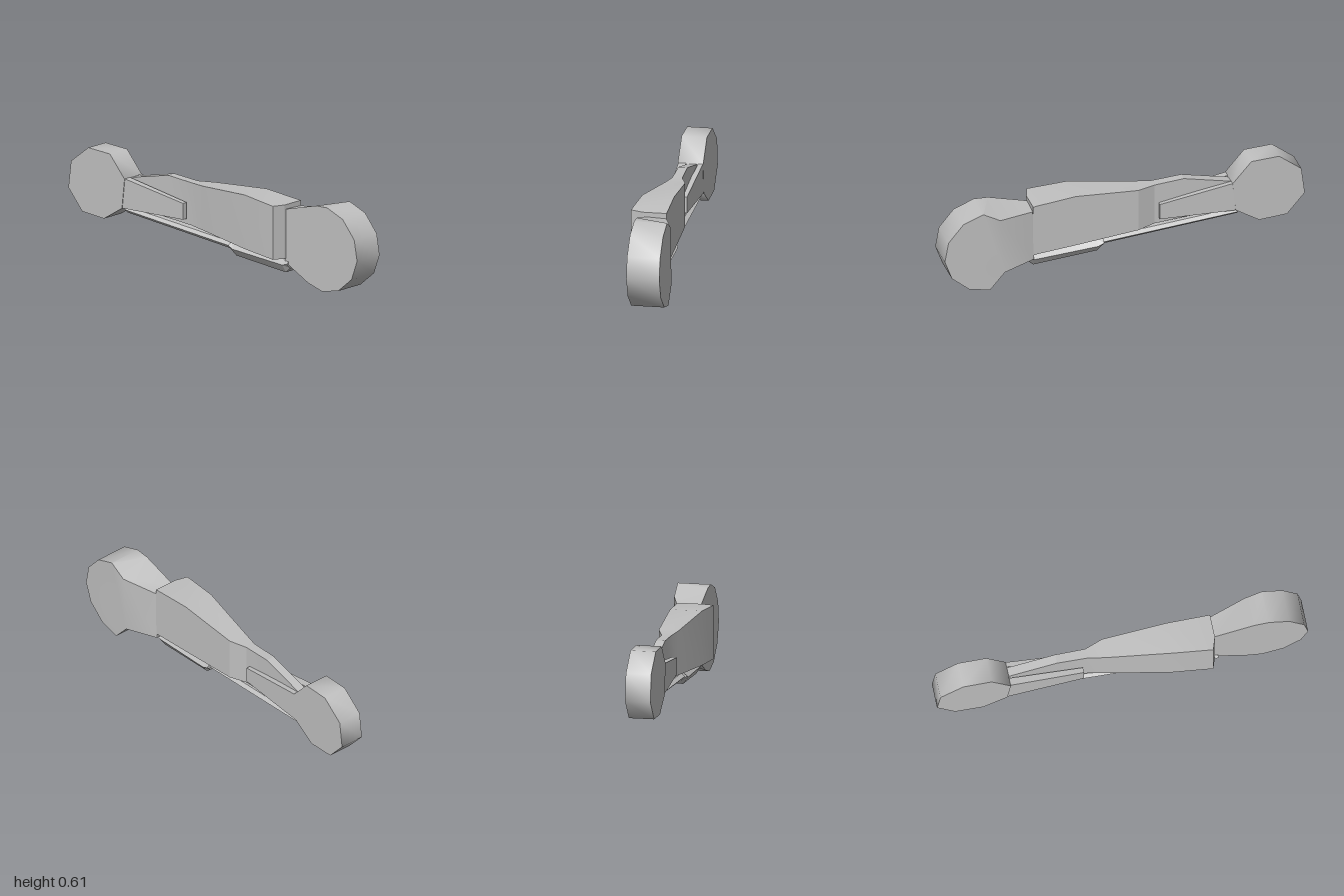
import * as THREE from 'three';
import { toCreasedNormals } from 'three/addons/utils/BufferGeometryUtils.js';

// Skin a row of equal-length loops, counter-clockwise seen from the last one.
// capFaces lists convex index groups that close both ends.
function loft(loops, crease, capFaces) {
  const n = loops[0].length;
  const index = [];
  for (let s = 0; s < loops.length - 1; s++) {
    for (let j = 0; j < n; j++) {
      const k = (j + 1) % n;
      const a = s * n + j, b = s * n + k, c = a + n, d = b + n;
      index.push(a, b, d, a, d, c);
    }
  }
  const last = (loops.length - 1) * n;
  for (const f of capFaces || [loops[0].map((_, i) => i)]) {
    for (let i = 1; i < f.length - 1; i++) {
      index.push(f[0], f[i + 1], f[i]);
      index.push(last + f[0], last + f[i], last + f[i + 1]);
    }
  }
  const geo = new THREE.BufferGeometry();
  geo.setAttribute('position', new THREE.Float32BufferAttribute(loops.flat(2), 3));
  geo.setIndex(index);
  return toCreasedNormals(geo, crease);
}

// Rectangular section across the limb
const rect = ([x, y0, y1, z0, z1]) => [[x, y0, z1], [x, y0, z0], [x, y1, z0], [x, y1, z1]];

// Six-sided section with slanted upper and lower flanks
const hex = ([x, y0, y1, z, half]) => {
  const m = y0 + (y1 - y0) * 0.55, t = half * 0.5;
  return [[x, y0, z + t], [x, y0, z - t], [x, m, z - half], [x, y1, z - t], [x, y1, z + t], [x, m, z + half]];
};

export function createModel() {
  const model = new THREE.Group();
  const grey = new THREE.MeshStandardMaterial({ color: 0xc0c0c0 });
  grey.name = 'grey';

  // The limb is built along x, then turned to its diagonal heading
  const limb = new THREE.Group();
  limb.name = 'limb';
  limb.rotation.y = -Math.atan2(0.785, 0.62);
  model.add(limb);

  const add = (name, geo) => {
    const mesh = new THREE.Mesh(geo, grey);
    mesh.name = name;
    limb.add(mesh);
  };

  // Large joint: a faceted disc with a neck that narrows on the far side
  const disc = [[0.9, 0], [1.04, 0.028], [1.157, 0.126], [1.205, 0.256],
    [1.18, 0.395], [1.08, 0.515], [0.945, 0.568]];
  const at = (z) => disc.map(([x, y]) => [x, y, z]);
  const farSide = [[0.58, 0.137, -0.075], [0.8, 0.115, -0.15], ...at(-0.15),
    [0.83, 0.505, -0.15], [0.59, 0.49, -0.075]];
  const nearSide = [[0.58, 0.14, 0.068], [0.78, 0.035, 0.068], ...at(0.068),
    [0.85, 0.565, 0.068], [0.585, 0.495, 0.068]];
  add('largeJoint', loft([farSide, nearSide], 0.8, [[1, 2, 3, 4, 5, 6, 7, 8, 9], [0, 1, 9, 10]]));

  // Small joint
  const small = [[-1.135, 0.177], [-0.947, 0.163], [-0.79, 0.26], [-0.768, 0.46],
    [-0.895, 0.605], [-1.082, 0.614], [-1.232, 0.498], [-1.255, 0.316]];
  add('smallJoint', loft([-0.047, 0.12].map((z) => small.map(([x, y]) => [x, y, z])), 0.95));

  // Tapered fork plates gripping the tongue of the main beam
  add('nearForkPlate', loft([[-0.8, 0.26, 0.466, 0.066, 0.117], [-0.28, 0.272, 0.381, 0.062, 0.097]].map(rect), 0.3));
  add('farForkPlate', loft([[-0.8, 0.26, 0.466, -0.046, -0.014], [-0.28, 0.272, 0.381, -0.038, 0.0]].map(rect), 0.3));

  // Main beam with a thin tongue and a wide chamfered end
  add('mainBeam', loft([
    [-0.85, 0.27, 0.44, -0.008, 0.052],
    [-0.45, 0.245, 0.53, -0.008, 0.052],
    [-0.25, 0.232, 0.517, -0.012, 0.053],
    [-0.13, 0.225, 0.52, -0.055, 0.075],
    [0.295, 0.19, 0.552, -0.068, 0.143],
    [0.56, 0.17, 0.528, -0.075, 0.165],
    [0.587, 0.165, 0.525, -0.076, 0.08],
  ].map(rect), 0.2));

  // Lower strut and its sleeve
  add('lowerStrut', loft([[-0.81, 0.215, 0.255, 0.02, 0.05], [0.4, 0.11, 0.155, 0.02, 0.05]].map(hex), 0.3));
  add('strutSleeve', loft([
    [0.1, 0.135, 0.19, 0.015, 0.07],
    [0.14, 0.1, 0.187, 0.015, 0.07],
    [0.57, 0.065, 0.165, 0.015, 0.07],
    [0.61, 0.1, 0.16, 0.015, 0.07],
  ].map(hex), 0.3));

  return model;
}
